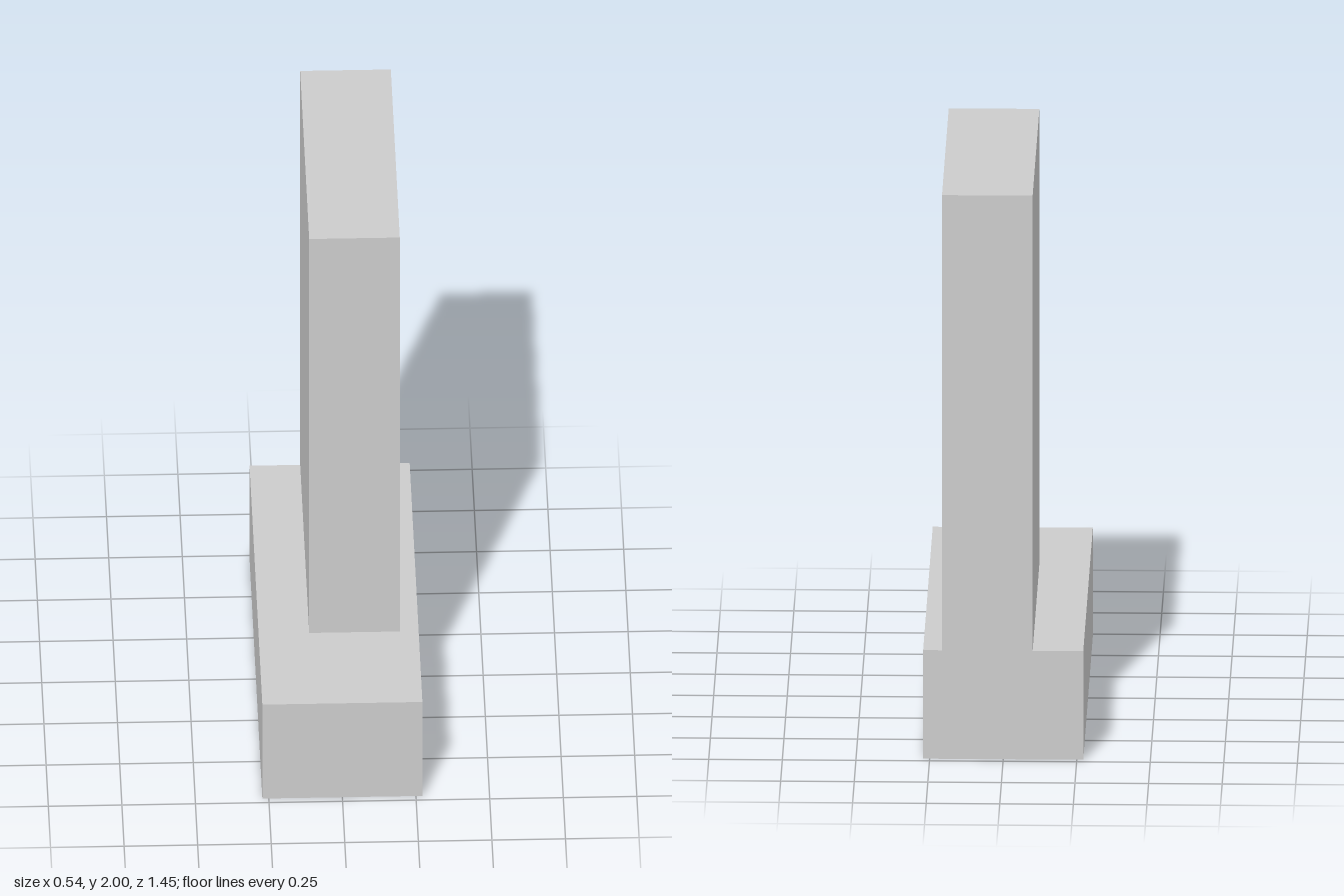
import * as THREE from 'three';

const material = new THREE.MeshStandardMaterial({ color: 0xcccccc, flatShading: true });

// Box given by its minimum and maximum corners
function block(name, min, max) {
  const size = max.map((v, i) => v - min[i]);
  const mesh = new THREE.Mesh(new THREE.BoxGeometry(...size), material);
  mesh.position.set(...min.map((v, i) => (v + max[i]) / 2));
  mesh.name = name;
  return mesh;
}

export function createModel() {
  const model = new THREE.Group();
  model.name = 'wallOnFooting';

  // Low footing
  model.add(block('footing', [-0.272, 0, -0.725], [0.272, 0.385, 0.725]));

  // Tall wall, off-centre and flush with the back of the footing
  model.add(block('wall', [-0.1, 0.385, -0.725], [0.208, 2, 0.295]));

  return model;
}
